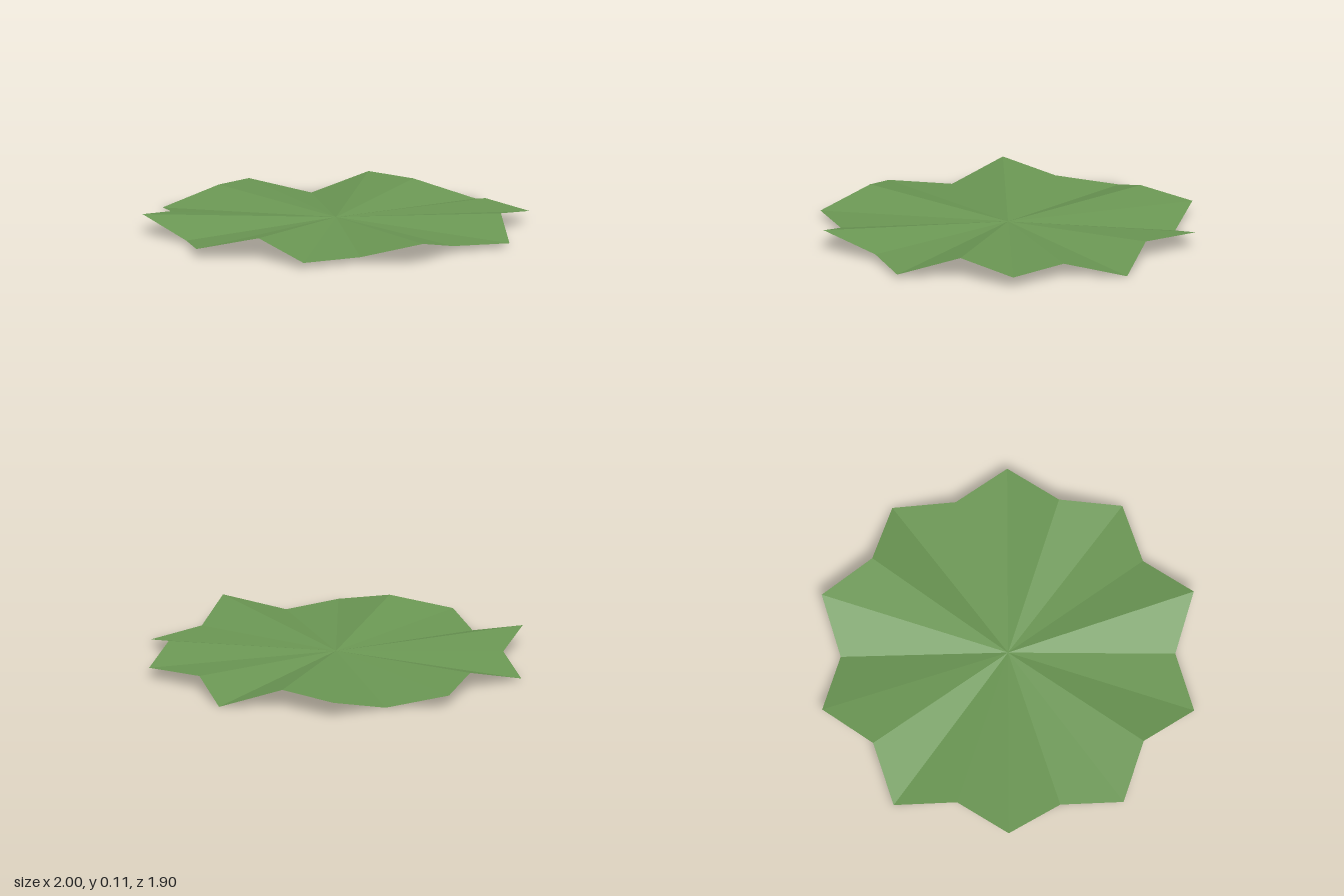
import * as THREE from 'three';

export function createModel() {
  const model = new THREE.Group();
  const leafGreen = new THREE.MeshStandardMaterial({ color: 0x6a9653, side: THREE.DoubleSide, flatShading: true });
  leafGreen.name = 'leafGreen';

  // Rim heights relative to the centre, every 18 degrees from +x towards +z
  const centreHeight = 0.056;
  const rim = [
    0, 0.05, -0.037, -0.02, 0.053, -0.027, -0.027, 0.053, -0.016, -0.041,
    0.047, 0, -0.05, 0.038, 0.01, -0.055, 0.027, 0.038, -0.055, 0.016,
  ];
  const n = rim.length;

  // Ten-pointed leaf: a fan with alternating tips and notches
  const positions = [0, centreHeight, 0];
  const indices = [];
  rim.forEach((h, k) => {
    const angle = (k / n) * Math.PI * 2;
    const radius = k % 2 ? 0.855 : 1;
    positions.push(Math.cos(angle) * radius, Math.max(0, centreHeight + h), Math.sin(angle) * radius);
    indices.push(0, 1 + ((k + 1) % n), 1 + k);
  });
  const indexed = new THREE.BufferGeometry();
  indexed.setAttribute('position', new THREE.Float32BufferAttribute(positions, 3));
  indexed.setIndex(indices);
  const geometry = indexed.toNonIndexed();
  geometry.computeVertexNormals();

  const leaf = new THREE.Mesh(geometry, leafGreen);
  leaf.name = 'leaf';
  model.add(leaf);
  return model;
}
